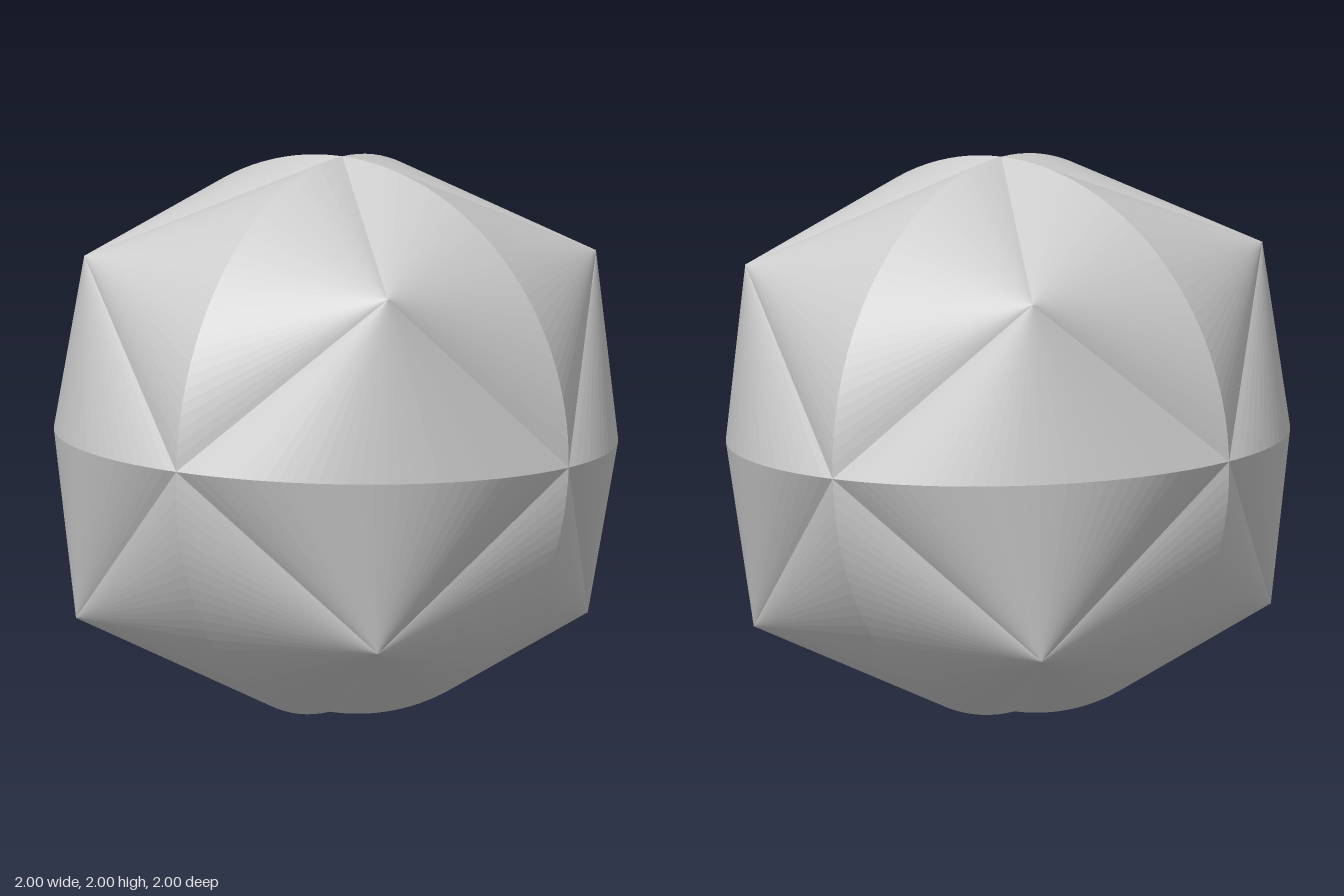
import * as THREE from 'three';

const SEGMENTS = 32; // facets along each quarter circle

// Slightly tilted set of three perpendicular axes
const zAxis = new THREE.Vector3(0.05, 0.025, 1).normalize();
const xAxis = new THREE.Vector3(1, -0.01, -0.053);
xAxis.addScaledVector(zAxis, -xAxis.dot(zAxis)).normalize();
const yAxis = new THREE.Vector3().crossVectors(zAxis, xAxis);
const axes = [xAxis, yAxis, zAxis];

// One octant: three fans from a raised apex to the three quarter circles around it
function octantGeometry(signs) {
  const poles = axes.map((a, i) => a.clone().multiplyScalar(signs[i]));
  const mirrored = signs[0] * signs[1] * signs[2] < 0;
  const apexScale = signs[0] === signs[2] && signs[0] !== signs[1] ? 0.63 : 0.652;
  const apex = new THREE.Vector3();
  poles.forEach((p) => apex.addScaledVector(p, apexScale));

  const points = [];
  for (let i = 0; i < 3; i++) {
    const from = poles[i];
    const to = poles[(i + 1) % 3];
    const arc = (k) => {
      const t = (k / SEGMENTS) * Math.PI / 2;
      return from.clone().multiplyScalar(Math.cos(t)).addScaledVector(to, Math.sin(t));
    };
    for (let k = 0; k < SEGMENTS; k++) {
      const a = arc(k), b = arc(k + 1);
      points.push(apex, ...(mirrored ? [b, a] : [a, b]));
    }
  }
  const geometry = new THREE.BufferGeometry().setFromPoints(points);
  geometry.computeVertexNormals();
  return geometry;
}

export function createModel() {
  const model = new THREE.Group();
  model.name = 'facetedBall';
  const material = new THREE.MeshStandardMaterial({ color: 0xcccccc, flatShading: true });

  // Eight peaked octants share the three great circles
  for (const x of [1, -1]) for (const y of [1, -1]) for (const z of [1, -1]) {
    const octant = new THREE.Mesh(octantGeometry([x, y, z]), material);
    octant.name = `${y > 0 ? 'upper' : 'lower'}${z > 0 ? 'Front' : 'Back'}${x > 0 ? 'Left' : 'Right'}Peak`;
    octant.position.y = 1;
    model.add(octant);
  }
  return model;
}
